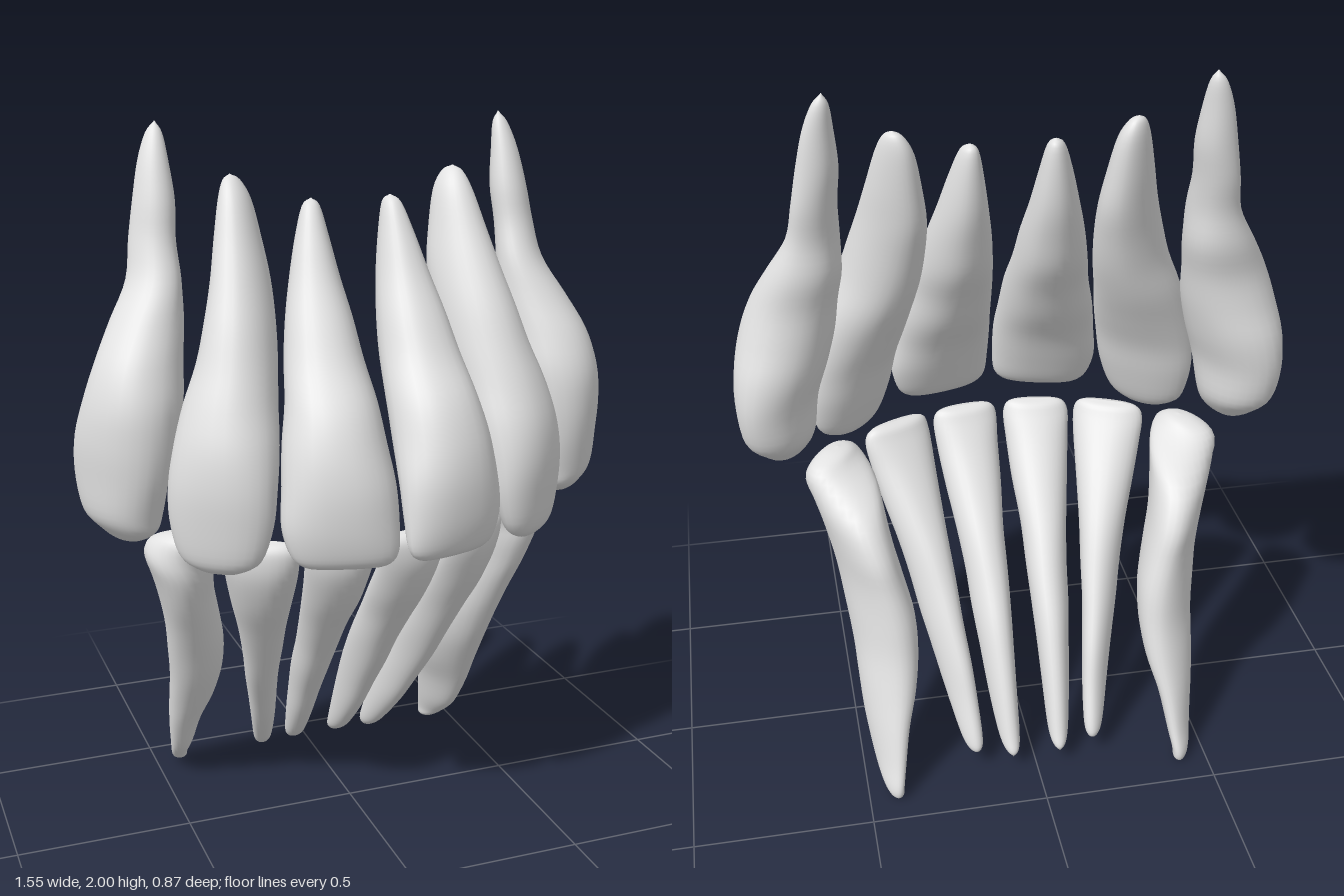
import * as THREE from 'three';

const SIDES = 28, STEPS = 4;

// Cross-sections from bottom to top: [y, centre x, centre z, half width, half depth, turn in degrees]
// Where the turn is left out, the tooth's own turn is used.
const upperCentral = [
  [0.885, 0.15, 0.375, 0.06, 0], [0.893, 0.15, 0.375, 0.11, 0.025], [0.925, 0.152, 0.37, 0.142, 0.047],
  [1.0, 0.158, 0.355, 0.155, 0.072], [1.1, 0.153, 0.33, 0.15, 0.097], [1.2, 0.149, 0.285, 0.138, 0.12],
  [1.3, 0.14, 0.235, 0.122, 0.125], [1.4, 0.135, 0.165, 0.106, 0.115], [1.5, 0.13, 0.115, 0.09, 0.1],
  [1.6, 0.125, 0.068, 0.068, 0.08], [1.7, 0.12, 0.035, 0.046, 0.056], [1.78, 0.115, 0.013, 0.024, 0.03],
  [1.8, 0.113, 0.008, 0, 0],
];
const upperLateral = [
  [0.86, 0.45, 0.23, 0.02, 0], [0.868, 0.45, 0.23, 0.06, 0.025], [0.905, 0.448, 0.23, 0.115, 0.05],
  [1.0, 0.44, 0.222, 0.145, 0.075], [1.1, 0.43, 0.212, 0.15, 0.095], [1.2, 0.41, 0.187, 0.142, 0.115],
  [1.3, 0.385, 0.15, 0.125, 0.125], [1.4, 0.355, 0.115, 0.105, 0.125], [1.5, 0.335, 0.08, 0.09, 0.12],
  [1.6, 0.32, 0.04, 0.075, 0.108], [1.7, 0.315, 0.005, 0.06, 0.085], [1.8, 0.313, -0.025, 0.042, 0.058],
  [1.85, 0.317, -0.04, 0.022, 0.03], [1.865, 0.32, -0.045, 0, 0],
];
const upperCanine = [
  [0.912, 0.645, 0.03, 0, 0], [0.92, 0.645, 0.032, 0.045, 0.03], [0.95, 0.645, 0.035, 0.092, 0.062],
  [1.0, 0.655, 0.023, 0.125, 0.09], [1.1, 0.654, 0.025, 0.15, 0.1], [1.2, 0.638, 0.027, 0.154, 0.118],
  [1.3, 0.616, 0.03, 0.138, 0.126], [1.4, 0.593, 0.015, 0.114, 0.118, 58], [1.5, 0.56, -0.02, 0.097, 0.098, 55],
  [1.6, 0.533, -0.045, 0.078, 0.064, 48], [1.7, 0.526, -0.075, 0.066, 0.053, 44], [1.8, 0.514, -0.092, 0.058, 0.05, 42],
  [1.9, 0.508, -0.11, 0.042, 0.036, 40], [1.97, 0.5, -0.125, 0.023, 0.02, 40], [2.0, 0.496, -0.13, 0, 0, 40],
];
const lowerCentral = [
  [0.042, 0.07, -0.355, 0, 0], [0.06, 0.071, -0.335, 0.02, 0.028], [0.1, 0.074, -0.3, 0.031, 0.046],
  [0.2, 0.08, -0.235, 0.04, 0.068], [0.3, 0.084, -0.175, 0.047, 0.08], [0.4, 0.088, -0.11, 0.055, 0.09],
  [0.5, 0.09, -0.04, 0.061, 0.09], [0.6, 0.096, 0.035, 0.069, 0.09], [0.7, 0.1, 0.115, 0.083, 0.085],
  [0.8, 0.105, 0.183, 0.093, 0.068], [0.87, 0.107, 0.216, 0.097, 0.045], [0.902, 0.107, 0.222, 0.082, 0.026],
  [0.912, 0.107, 0.222, 0.045, 0],
];
const lowerLateral = [
  [0.05, 0.176, -0.325, 0, 0], [0.065, 0.178, -0.315, 0.018, 0.025], [0.1, 0.184, -0.29, 0.028, 0.043],
  [0.2, 0.201, -0.225, 0.036, 0.065], [0.3, 0.218, -0.17, 0.042, 0.08], [0.4, 0.237, -0.11, 0.049, 0.088],
  [0.5, 0.252, -0.05, 0.058, 0.09], [0.6, 0.27, 0.01, 0.069, 0.09], [0.7, 0.29, 0.075, 0.085, 0.085],
  [0.8, 0.307, 0.133, 0.1, 0.068], [0.87, 0.317, 0.161, 0.105, 0.045], [0.902, 0.317, 0.166, 0.088, 0.026],
  [0.912, 0.317, 0.166, 0.045, 0],
];
const lowerCanine = [
  [0, 0.42, -0.42, 0, 0], [0.012, 0.422, -0.405, 0.018, 0.026], [0.04, 0.428, -0.385, 0.024, 0.047],
  [0.1, 0.43, -0.34, 0.033, 0.072], [0.2, 0.428, -0.292, 0.046, 0.09, 29], [0.3, 0.417, -0.245, 0.064, 0.104, 32],
  [0.4, 0.413, -0.2, 0.074, 0.119, 30], [0.5, 0.42, -0.165, 0.079, 0.134, 27], [0.6, 0.438, -0.13, 0.077, 0.147, 22],
  [0.7, 0.462, -0.095, 0.079, 0.159, 18], [0.8, 0.486, -0.045, 0.089, 0.139, 20], [0.88, 0.507, 0.02, 0.095, 0.066, 46],
  [0.912, 0.502, 0.038, 0.05, 0.035, 50], [0.92, 0.5, 0.04, 0, 0, 50],
];

// Lofts smooth rings through the sections; side -1 mirrors the tooth
function toothGeometry(sections, turn, side) {
  const curve = (f) => new THREE.CatmullRomCurve3(sections.map(f), false, 'catmullrom', 0.5);
  const centres = curve(([y, x, z]) => new THREE.Vector3(x, y, z));
  const sizes = curve((q) => new THREE.Vector3(q[3], q[4], THREE.MathUtils.degToRad(q[5] ?? turn)));
  const rings = (sections.length - 1) * STEPS;
  const positions = [], indices = [];
  for (let i = 0; i <= rings; i++) {
    const p = centres.getPoint(i / rings), r = sizes.getPoint(i / rings);
    const hw = Math.max(r.x, 0.001), hd = Math.max(r.y, 0.001);
    const c = Math.cos(r.z), s = Math.sin(r.z);
    for (let j = 0; j < SIDES; j++) {
      const a = (j / SIDES) * Math.PI * 2;
      const ca = Math.cos(a), sa = Math.sin(a);
      // slightly boxy outline, narrower on the tongue side
      const u = hw * Math.sign(ca) * Math.abs(ca) ** 0.9 * (sa < 0 ? 1 + 0.12 * sa : 1);
      const v = hd * Math.sign(sa) * Math.abs(sa) ** 0.95;
      positions.push(side * (p.x + u * c + v * s), p.y, p.z - u * s + v * c);
    }
  }
  const quad = (a, b, d, e) => {
    if (side > 0) indices.push(a, b, d, b, e, d);
    else indices.push(a, d, b, b, d, e);
  };
  for (let i = 0; i < rings; i++) {
    for (let j = 0; j < SIDES; j++) {
      const k = (j + 1) % SIDES, base = i * SIDES, up = base + SIDES;
      quad(base + j, up + j, base + k, up + k);
    }
  }
  // close both ends
  const top = rings * SIDES;
  for (let j = 1; j < SIDES - 1; j++) {
    if (side > 0) indices.push(0, j, j + 1, top, top + j + 1, top + j);
    else indices.push(0, j + 1, j, top, top + j, top + j + 1);
  }
  const geometry = new THREE.BufferGeometry();
  geometry.setAttribute('position', new THREE.Float32BufferAttribute(positions, 3));
  geometry.setIndex(indices);
  geometry.computeVertexNormals();
  return geometry;
}

export function createModel() {
  const enamel = new THREE.MeshStandardMaterial({ color: 0xe2e2e2 });
  enamel.name = 'enamel';
  const model = new THREE.Group();
  model.name = 'frontTeeth';
  const rows = {
    upperTeeth: [['upperCentralIncisor', upperCentral, 15], ['upperLateralIncisor', upperLateral, 38], ['upperCanine', upperCanine, 60]],
    lowerTeeth: [['lowerCentralIncisor', lowerCentral, 8], ['lowerLateralIncisor', lowerLateral, 25], ['lowerCanine', lowerCanine, 25]],
  };
  for (const [rowName, teeth] of Object.entries(rows)) {
    const row = new THREE.Group();
    row.name = rowName;
    for (const [name, sections, turn] of teeth) {
      for (const side of [1, -1]) {
        const tooth = new THREE.Mesh(toothGeometry(sections, turn, side), enamel);
        tooth.name = name + (side > 0 ? 'Left' : 'Right');
        row.add(tooth);
      }
    }
    model.add(row);
  }
  return model;
}
